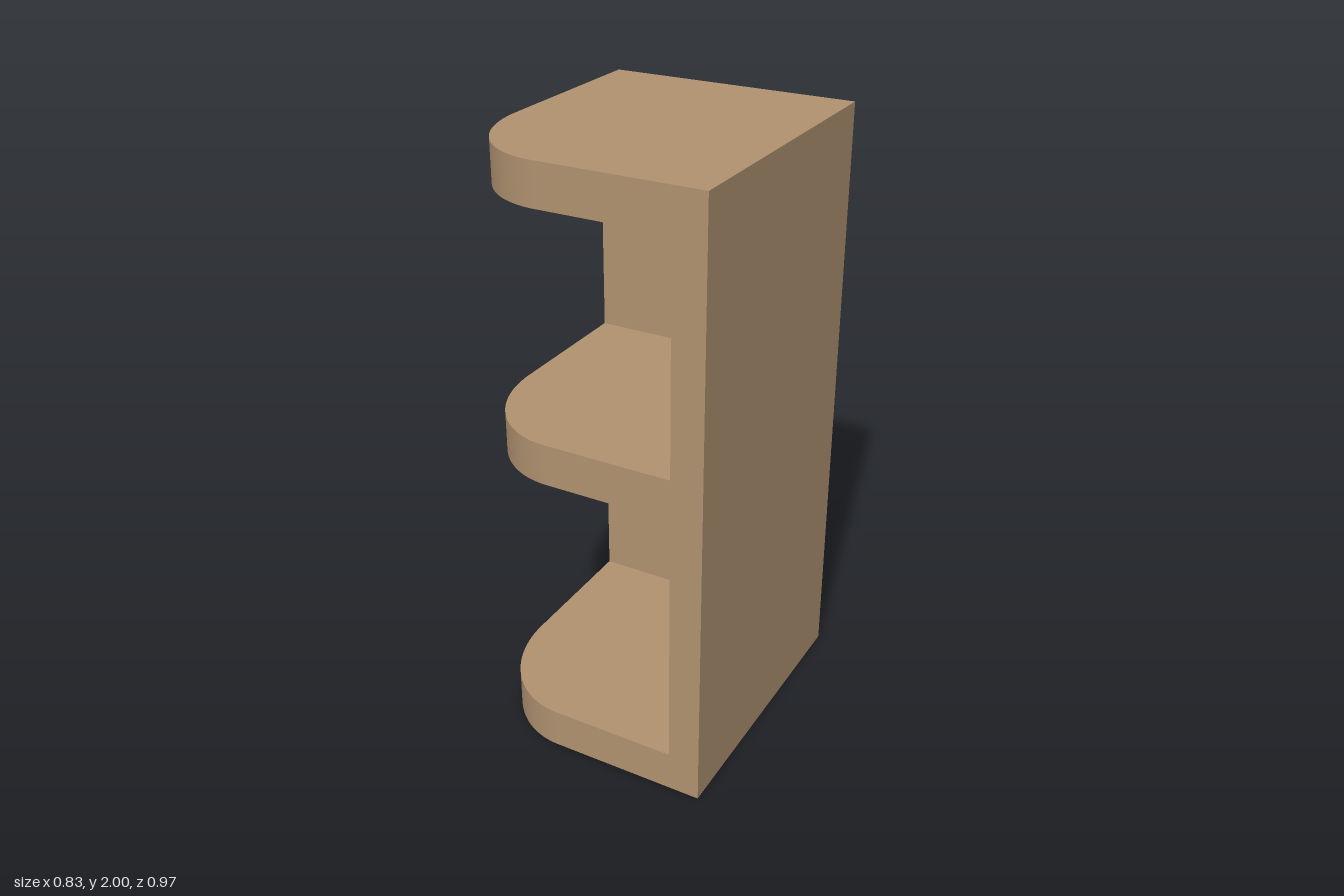
import * as THREE from 'three';
import { toCreasedNormals } from 'three/addons/utils/BufferGeometryUtils.js';

const X = 0.415, Z = 0.485, H = 2;      // half width, half depth, height
const SIDE = 0.105, BACK = 0.12, SHELF = 0.135; // board thicknesses
const RX = 0.305, RZ = 0.375;           // rounded shelf corner

export function createModel() {
  const group = new THREE.Group();
  const wood = new THREE.MeshStandardMaterial({ color: 0xb09270 });
  wood.name = 'light wood';

  const add = (name, geometry, x, y, z) => {
    const mesh = new THREE.Mesh(geometry, wood);
    mesh.name = name;
    mesh.position.set(x, y, z);
    group.add(mesh);
  };

  // Upright boards: full-depth side and the back beside it
  const innerX = X - SIDE, innerZ = -Z + BACK;
  add('sidePanel', new THREE.BoxGeometry(SIDE, H, 2 * Z), X - SIDE / 2, H / 2, 0);
  add('backPanel', new THREE.BoxGeometry(innerX + X, H, BACK), (innerX - X) / 2, H / 2, -Z + BACK / 2);

  // Shelf outline, drawn with y = -z, rounded at the open front corner
  const outline = new THREE.Shape();
  outline.moveTo(innerX, -innerZ);
  outline.lineTo(-X, -innerZ);
  outline.lineTo(-X, -(Z - RZ));
  outline.absellipse(-X + RX, -(Z - RZ), RX, RZ, Math.PI, 1.5 * Math.PI, false);
  outline.lineTo(innerX, -Z);
  outline.closePath();

  const shelf = toCreasedNormals(
    new THREE.ExtrudeGeometry(outline, { depth: SHELF, bevelEnabled: false, curveSegments: 24 }).rotateX(-Math.PI / 2),
    0.5
  );
  [['bottomShelf', 0], ['middleShelf', 1.003], ['topShelf', H - SHELF]].forEach(([name, y]) => add(name, shelf, 0, y, 0));

  return group;
}
